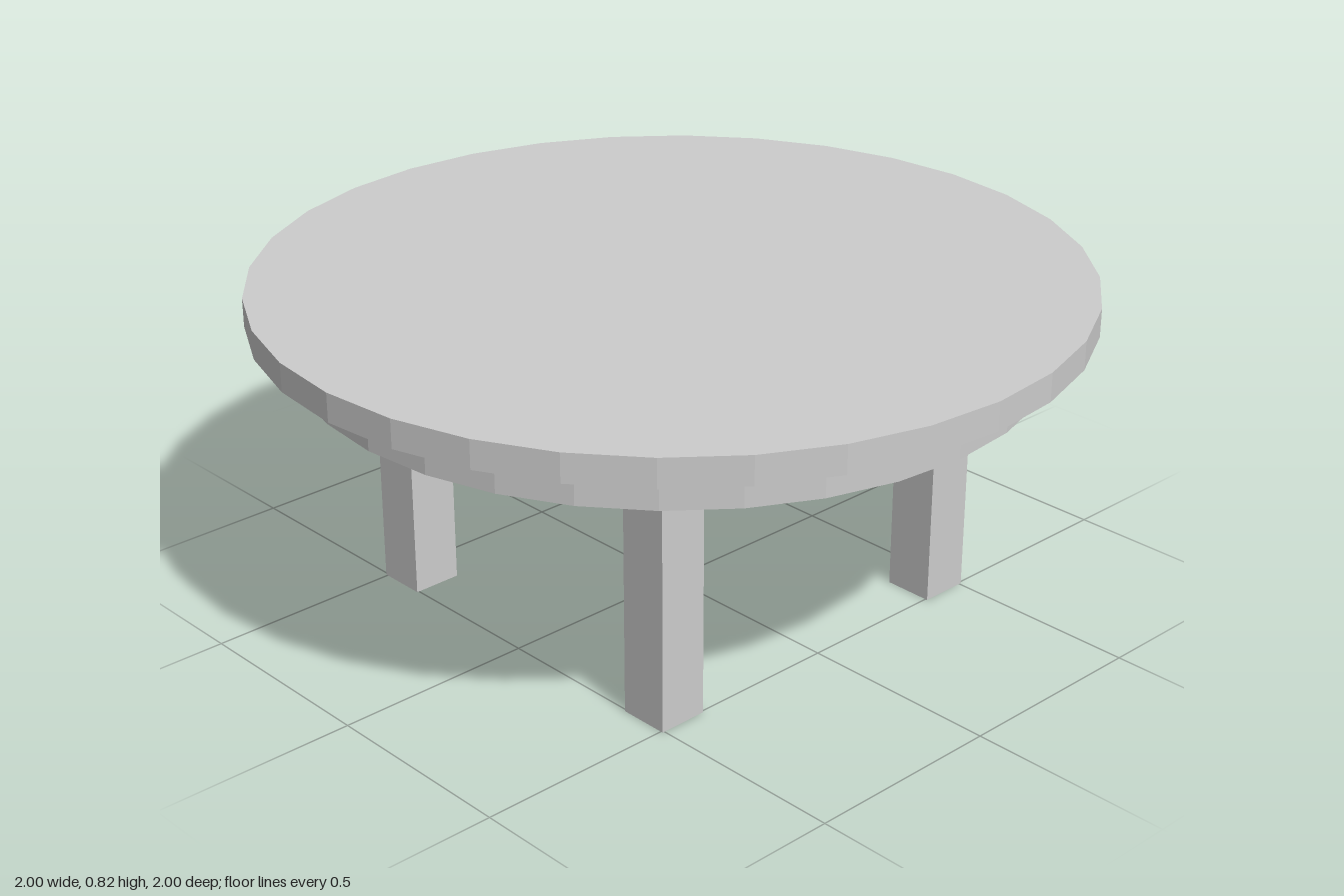
import * as THREE from 'three';

export function createModel() {
  const group = new THREE.Group();
  const material = new THREE.MeshStandardMaterial({ color: 0xcccccc, flatShading: true });

  function add(name, geometry, x, y, z) {
    const mesh = new THREE.Mesh(geometry, material);
    mesh.name = name;
    mesh.position.set(x, y, z);
    group.add(mesh);
  }

  const legHeight = 0.65, apronHeight = 0.1, topHeight = 0.07;
  const legWidth = 0.125, legOffset = 0.443;

  // Round faceted top and the smaller disc beneath it
  const apronTop = legHeight + apronHeight;
  add('tableTop', new THREE.CylinderGeometry(1, 1, topHeight, 32), 0, apronTop + topHeight / 2, 0);
  add('apron', new THREE.CylinderGeometry(0.9, 0.9, apronHeight, 32), 0, legHeight + apronHeight / 2, 0);

  // Four square legs
  const leg = new THREE.BoxGeometry(legWidth, legHeight, legWidth);
  for (const [side, x] of [['Left', 1], ['Right', -1]]) {
    for (const [end, z] of [['front', 1], ['back', -1]]) {
      add(`${end}${side}Leg`, leg, x * legOffset, legHeight / 2, z * legOffset);
    }
  }

  return group;
}
